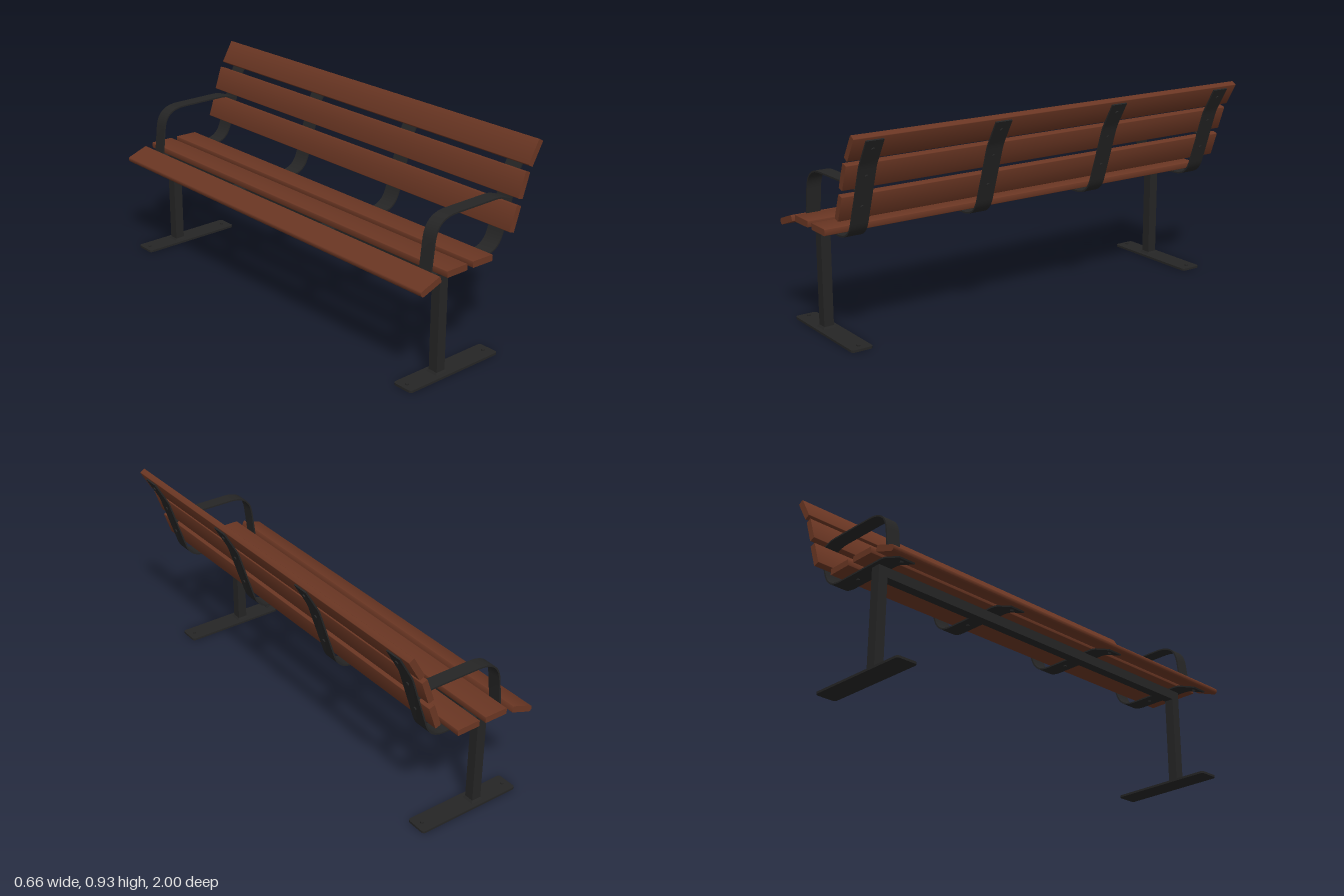
import * as THREE from 'three';
import { toCreasedNormals } from 'three/addons/utils/BufferGeometryUtils.js';

const wood = new THREE.MeshStandardMaterial({ color: 0x6a3623 });
wood.name = 'brown wood';
const metal = new THREE.MeshStandardMaterial({ color: 0x252525 });
metal.name = 'black metal';

function add(parent, name, geometry, material, x = 0, y = 0, z = 0, angle = 0) {
  const mesh = new THREE.Mesh(geometry, material);
  mesh.name = name;
  mesh.position.set(x, y, z);
  mesh.rotation.z = angle;
  parent.add(mesh);
  return mesh;
}

// Extrude a side profile along z, centred on z = 0
function extrudeZ(shape, width) {
  const geo = new THREE.ExtrudeGeometry(shape, { depth: width, bevelEnabled: false, curveSegments: 6 });
  geo.translate(0, 0, -width / 2);
  return toCreasedNormals(geo, 0.5);
}

// Rectangle with separate corner radii for its left and right ends
function roundedRect(w, h, left, right) {
  const s = new THREE.Shape(), x = w / 2, y = h / 2, H = Math.PI / 2;
  s.absarc(x - right, -y + right, right, -H, 0);
  s.absarc(x - right, y - right, right, 0, H);
  s.absarc(-x + left, y - left, left, H, 2 * H);
  s.absarc(-x + left, -y + left, left, 2 * H, 3 * H);
  s.closePath();
  return s;
}

// Flat bar of even thickness that follows a path in the xy plane
function bar(path, thickness, width) {
  const pts = path.getPoints(10).filter((p, i, a) => i === 0 || p.distanceTo(a[i - 1]) > 1e-5);
  const upper = [], lower = [];
  pts.forEach((p, i) => {
    const a = pts[Math.max(i - 1, 0)], b = pts[Math.min(i + 1, pts.length - 1)];
    const t = b.clone().sub(a).normalize().multiplyScalar(thickness / 2);
    upper.push(new THREE.Vector2(p.x - t.y, p.y + t.x));
    lower.push(new THREE.Vector2(p.x + t.y, p.y - t.x));
  });
  return extrudeZ(new THREE.Shape([...lower, ...upper.reverse()]), width);
}

export function createModel() {
  const bench = new THREE.Group();
  bench.name = 'bench';
  const rad = THREE.MathUtils.degToRad;

  // Wooden slats: x, y, tilt in degrees, front edge radius
  const slats = [
    ['frontSeatSlat', -0.279, 0.462, 20, 0.0135],
    ['middleSeatSlat', -0.136, 0.489, 0, 0.003],
    ['rearSeatSlat', 0.008, 0.488, -1, 0.003],
    ['lowerBackSlat', 0.188, 0.618, 71, 0.003],
    ['middleBackSlat', 0.230, 0.751, 71, 0.003],
    ['upperBackSlat', 0.289, 0.874, 60, 0.003],
  ];
  for (const [name, x, y, tilt, r] of slats) {
    add(bench, name, extrudeZ(roundedRect(0.112, 0.028, r, 0.003), 2), wood, x, y, 0, rad(tilt));
  }

  // Bent straps that carry the seat and back
  const strapPath = new THREE.Path();
  strapPath.moveTo(-0.300, 0.436);
  strapPath.lineTo(-0.228, 0.4625);
  strapPath.quadraticCurveTo(-0.208, 0.471, -0.180, 0.4715);
  strapPath.lineTo(0.075, 0.470);
  strapPath.bezierCurveTo(0.135, 0.470, 0.164, 0.493, 0.181, 0.541);
  strapPath.lineTo(0.257, 0.776);
  strapPath.quadraticCurveTo(0.262, 0.79, 0.270, 0.805);
  strapPath.lineTo(0.326, 0.903);
  const strapGeo = bar(strapPath, 0.007, 0.08);
  const boltGeo = new THREE.CylinderGeometry(0.008, 0.008, 0.01, 12);
  const bolts = [
    [-0.268, 0.442, 20], [0.006, 0.467, 0],
    [0.208, 0.612, 71], [0.250, 0.744, 71], [0.307, 0.863, 60],
  ];
  for (const z of [-0.905, -0.305, 0.305, 0.905]) {
    add(bench, 'strap', strapGeo, metal, 0, 0, z);
    for (const [x, y, tilt] of bolts) add(bench, 'strapBolt', boltGeo, metal, x, y, z, rad(tilt));
  }

  // Beam under the seat joining the two posts
  add(bench, 'beam', new THREE.BoxGeometry(0.045, 0.045, 1.85), metal, -0.132, 0.446, 0);

  // Armrest, post and foot at each end
  const armPath = new THREE.Path();
  armPath.moveTo(-0.217, 0.468);
  armPath.lineTo(-0.201, 0.603);
  armPath.bezierCurveTo(-0.193, 0.665, -0.160, 0.697, -0.085, 0.698);
  armPath.lineTo(0.135, 0.698);
  armPath.quadraticCurveTo(0.163, 0.698, 0.180, 0.692);
  armPath.lineTo(0.226, 0.676);
  const armGeo = bar(armPath, 0.007, 0.065);
  const footGeo = extrudeZ(roundedRect(0.505, 0.1, 0.014, 0.014), 0.01);
  footGeo.rotateX(-Math.PI / 2);
  const weldGeo = new THREE.CylinderGeometry(0.0325, 0.042, 0.009, 4, 1);
  weldGeo.rotateY(Math.PI / 4);
  for (const side of [-1, 1]) {
    const z = side * 0.905;
    add(bench, 'armrest', armGeo, metal, 0, 0, z);
    add(bench, 'post', new THREE.BoxGeometry(0.045, 0.46, 0.045), metal, -0.132, 0.238, z);
    add(bench, 'postWeld', toCreasedNormals(weldGeo, 0.3), metal, -0.132, 0.0145, z);
    add(bench, 'footPlate', footGeo, metal, -0.0745, 0.005, z);
    for (const x of [-0.298, 0.143]) add(bench, 'footBolt', boltGeo, metal, x, 0.011, z);
  }
  return bench;
}
